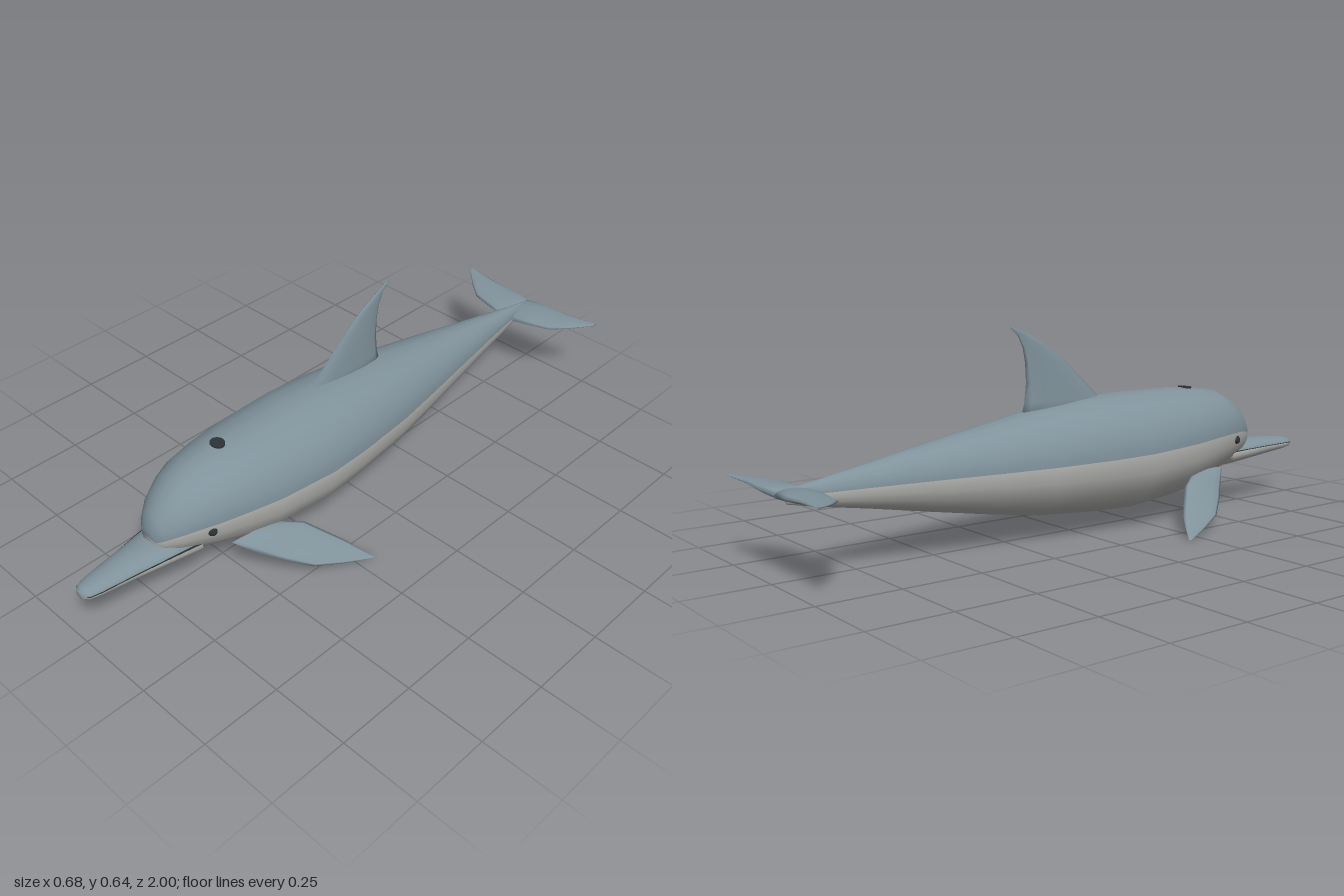
import * as THREE from 'three';

const mat = (name, color, extra = {}) => Object.assign(new THREE.MeshStandardMaterial({ color, ...extra }), { name });

// Skins a list of closed rings, caps both ends; quads from column `split` on go to the second material.
function loft(rings, split = Infinity) {
  const n = rings[0].length;
  const pos = rings.flat();
  const lists = [[], []];
  for (let r = 0; r < rings.length - 1; r++) {
    for (let i = 0; i < n; i++) {
      const j = (i + 1) % n, a = r * n + i, b = r * n + j;
      lists[i < split ? 0 : 1].push(a, b, b + n, a, b + n, a + n);
    }
  }
  for (const r of [0, rings.length - 1]) {
    const mid = new THREE.Vector3();
    rings[r].forEach((p) => mid.addScaledVector(p, 1 / n));
    const c = pos.push(mid) - 1;
    for (let i = 0; i < n; i++) {
      const a = r * n + i, b = r * n + (i + 1) % n;
      lists[i < split ? 0 : 1].push(...(r ? [a, b, c] : [b, a, c]));
    }
  }
  // turn the faces outward
  const centre = new THREE.Vector3();
  pos.forEach((p) => centre.addScaledVector(p, 1 / pos.length));
  let volume = 0;
  const q = [0, 1, 2].map(() => new THREE.Vector3());
  for (const list of lists) {
    for (let k = 0; k < list.length; k += 3) {
      q.forEach((v, m) => v.subVectors(pos[list[k + m]], centre));
      volume += q[0].dot(q[1].clone().cross(q[2]));
    }
  }
  if (volume < 0) lists.forEach((l) => l.reverse());
  const geo = new THREE.BufferGeometry().setFromPoints(pos);
  geo.setIndex([...lists[0], ...lists[1]]);
  geo.addGroup(0, lists[0].length, 0);
  geo.addGroup(lists[0].length, lists[1].length, 1);
  geo.computeVertexNormals();
  return geo;
}

// Two-tone tube along z; station = [z, top, bottom, halfWidth, colourLineY]
function twoTone(stations, half = 10) {
  const rings = stations.map(([z, top, bottom, rx, line]) => {
    const cy = (top + bottom) / 2, ry = (top - bottom) / 2;
    const a = Math.asin(THREE.MathUtils.clamp((line - cy) / ry, -0.9, 0.9));
    const ring = [];
    for (let i = 0; i < 2 * half; i++) {
      const t = i < half
        ? a + (Math.PI - 2 * a) * i / half
        : Math.PI - a + (Math.PI + 2 * a) * (i - half) / half;
      ring.push(new THREE.Vector3(rx * Math.cos(t), cy + ry * Math.sin(t), z));
    }
    return ring;
  });
  return loft(rings, half);
}

// Fin with lens sections; section = [leading xyz, trailing xyz, half thickness]
function fin(sections, normal, side = 1) {
  const n = new THREE.Vector3(...normal).normalize();
  const rings = sections.map(([lead, trail, thick]) => {
    const L = new THREE.Vector3(...lead), T = new THREE.Vector3(...trail);
    const ring = [];
    for (let i = 0; i < 12; i++) {
      const t = i / 12 * Math.PI * 2;
      const p = T.clone().lerp(L, 0.5 + 0.5 * Math.cos(t)).addScaledVector(n, thick * Math.sin(t));
      p.x *= side;
      ring.push(p);
    }
    return ring;
  });
  return loft(rings);
}

export function createModel() {
  const group = new THREE.Group();
  const back = mat('blueGreySkin', 0x80929b);
  const belly = mat('paleGreySkin', 0xb2b2af);
  const dark = mat('darkDetail', 0x2b3337);
  const add = (name, geo, material) => {
    const mesh = new THREE.Mesh(geo, material);
    mesh.name = name;
    group.add(mesh);
    return mesh;
  };

  // body
  add('body', twoTone([
    [0.757, 0.268, 0.205, 0.03, 0.23],
    [0.74, 0.305, 0.185, 0.055, 0.243],
    [0.70, 0.348, 0.165, 0.087, 0.258],
    [0.65, 0.383, 0.147, 0.112, 0.266],
    [0.595, 0.406, 0.126, 0.131, 0.267],
    [0.50, 0.418, 0.095, 0.153, 0.264],
    [0.40, 0.424, 0.07, 0.17, 0.258],
    [0.20, 0.425, 0.05, 0.183, 0.248],
    [0.05, 0.417, 0.056, 0.174, 0.244],
    [-0.15, 0.395, 0.071, 0.152, 0.241],
    [-0.32, 0.365, 0.098, 0.122, 0.239],
    [-0.50, 0.334, 0.13, 0.089, 0.238],
    [-0.70, 0.297, 0.167, 0.052, 0.236],
    [-0.86, 0.268, 0.194, 0.024, 0.234],
    [-0.95, 0.252, 0.212, 0.006, 0.233],
  ]), [back, belly]);

  // beak, and the mouth line as a thin dark ring round it
  const beak = [
    [0.64, 0.222, 0.14, 0.092, 0.194],
    [0.75, 0.222, 0.146, 0.072, 0.192],
    [0.85, 0.217, 0.154, 0.055, 0.19],
    [0.95, 0.208, 0.162, 0.041, 0.188],
    [0.985, 0.203, 0.166, 0.031, 0.186],
    [0.999, 0.194, 0.173, 0.015, 0.184],
  ];
  add('beak', twoTone(beak), [back, belly]);
  add('mouthLine', twoTone(beak.map(([z, , , rx, y]) =>
    [Math.min(z, 0.997), y + 0.004, y - 0.004, rx + 0.0015, y])), [dark, dark]);

  // dorsal fin: height, leading z, trailing z, half thickness
  add('dorsalFin', fin([
    [0.37, 0.17, -0.185, 0.021],
    [0.42, 0.115, -0.172, 0.018],
    [0.48, 0.048, -0.165, 0.014],
    [0.54, -0.02, -0.168, 0.010],
    [0.585, -0.08, -0.176, 0.007],
    [0.625, -0.155, -0.195, 0.004],
    [0.648, -0.212, -0.222, 0.001],
  ].map(([y, a, b, t]) => [[0, y, a], [0, y + (y < 0.4 ? 0 : -0.002), b], t]), [1, 0, 0]), back);

  // blowhole
  const hole = add('blowhole', new THREE.CylinderGeometry(0.024, 0.024, 0.006, 20), dark);
  hole.scale.z = 0.85;
  hole.position.set(0, 0.418, 0.49);
  hole.rotation.x = 0.06;

  for (const side of [1, -1]) {
    const name = side > 0 ? 'left' : 'right';

    // flippers
    add(name + 'Flipper', fin([
      [[0.115, 0.155, 0.555], [0.13, 0.15, 0.40], 0.012],
      [[0.16, 0.113, 0.505], [0.18, 0.128, 0.325], 0.012],
      [[0.215, 0.076, 0.445], [0.218, 0.092, 0.285], 0.010],
      [[0.268, 0.044, 0.38], [0.262, 0.055, 0.243], 0.007],
      [[0.305, 0.02, 0.29], [0.302, 0.026, 0.217], 0.004],
      [[0.34, 0.004, 0.202], [0.34, 0.004, 0.194], 0.001],
    ], [0.6, 0.8, 0], side), back);

    // tail flukes
    add(name + 'Fluke', fin([
      [[0.004, 0.228, -0.85], [0.004, 0.242, -0.985], 0.02],
      [[0.08, 0.232, -0.862], [0.08, 0.246, -0.992], 0.015],
      [[0.16, 0.238, -0.88], [0.16, 0.251, -0.989], 0.010],
      [[0.215, 0.245, -0.925], [0.215, 0.254, -0.994], 0.006],
      [[0.274, 0.256, -0.982], [0.274, 0.258, -1.0], 0.002],
    ], [0, 1, 0.1], side), back);

    // eyes
    const eye = add(name + 'Eye', new THREE.SphereGeometry(0.014, 16, 12), dark);
    eye.scale.x = 0.75;
    eye.position.set(side * 0.117, 0.242, 0.622);
    eye.rotation.y = -side * 0.35;
  }
  return group;
}
